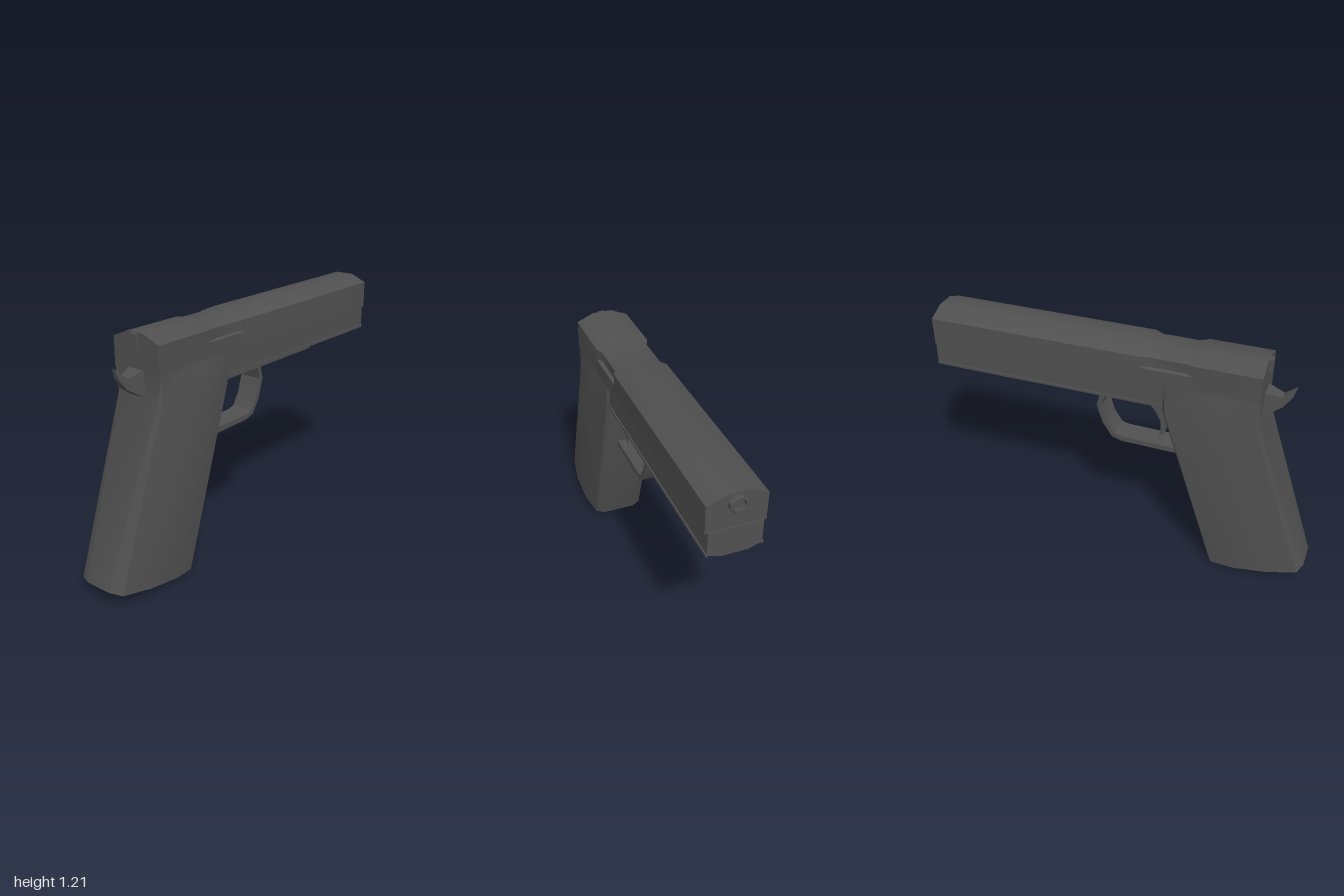
import * as THREE from 'three';
import { toCreasedNormals } from 'three/addons/utils/BufferGeometryUtils.js';

const gunmetal = new THREE.MeshStandardMaterial({ color: 0x505050 });
gunmetal.name = 'gunmetal';

// Skin a row of equal rings (counter-clockwise about the direction of travel) and cap both ends.
function loft(rings, crease = 0.6) {
  const n = rings[0].length;
  const index = [];
  for (let k = 0; k < rings.length - 1; k++) {
    for (let i = 0; i < n; i++) {
      const j = (i + 1) % n;
      const a = k * n + i, b = k * n + j;
      index.push(a, b, b + n, a, b + n, a + n);
    }
  }
  const last = (rings.length - 1) * n;
  for (let i = 1; i < n - 1; i++) {
    index.push(0, i + 1, i);
    index.push(last, last + i, last + i + 1);
  }
  const g = new THREE.BufferGeometry();
  g.setAttribute('position', new THREE.Float32BufferAttribute(rings.flat(2), 3));
  g.setIndex(index);
  return toCreasedNormals(g, crease);
}

// Complete a half ring given on the +z side with its mirror image.
const mirrorRing = half => [...half, ...half.map(([x, y, z]) => [x, y, -z]).reverse()];

// Side outline in x, y given a width across z.
function plate(points, width) {
  const shape = new THREE.Shape(points.map(p => new THREE.Vector2(...p)));
  const g = new THREE.ExtrudeGeometry(shape, { depth: width, bevelEnabled: false });
  return g.translate(0, 0, -width / 2);
}

export function createModel() {
  const model = new THREE.Group();
  model.name = 'pistol';
  const add = (name, geometry) => {
    const mesh = new THREE.Mesh(geometry, gunmetal);
    mesh.name = name;
    model.add(mesh);
    return mesh;
  };

  // Slide, cut slightly inwards around the ejection port
  const slideRing = (x, cut) => mirrorRing([
    [x, 1.217 - cut * 0.5, 0.05],
    [x, 1.18 - cut * 0.3, 0.138 - cut],
    [x, 1.125, 0.138 - cut],
    [x, 1.12, 0.138],
    [x, 1.04, 0.138],
  ]);
  add('slide', loft([
    slideRing(-0.7, 0), slideRing(-0.38, 0), slideRing(-0.34, 0.018),
    slideRing(-0.15, 0.018), slideRing(-0.11, 0), slideRing(0.98, 0),
  ]));

  // Frame below the slide
  const frameRing = x => mirrorRing([
    [x, 1.045, 0.125], [x, 0.925, 0.125], [x, 0.905, 0.06],
  ]);
  add('frame', loft([frameRing(-0.26), frameRing(0.985)]));
  for (const s of [-1, 1]) {
    const rail = add('frameRail', new THREE.BoxGeometry(1.21, 0.014, 0.01));
    rail.position.set(0.38, 0.925, s * 0.126);
  }

  // Grip: each row has its rear and front corner and [fraction, half width] stations
  const gripRow = (rear, front, stations) => mirrorRing(stations.map(([t, w]) => [
    THREE.MathUtils.lerp(rear[0], front[0], t),
    THREE.MathUtils.lerp(rear[1], front[1], t), w,
  ]));
  add('grip', loft([
    gripRow([-1, 0.08], [-0.5, 0.003],
      [[0, 0.07], [0.05, 0.133], [0.35, 0.16], [0.7, 0.16], [0.95, 0.135], [1, 0.09]]),
    gripRow([-0.7, 0.92], [-0.23, 0.9],
      [[0, 0.12], [0.03, 0.138], [0.35, 0.163], [0.65, 0.163], [0.97, 0.14], [1, 0.125]]),
    gripRow([-0.7, 1.045], [-0.23, 1.045],
      [[0, 0.136], [0.03, 0.138], [0.35, 0.138], [0.65, 0.138], [0.97, 0.138], [1, 0.136]]),
  ]));

  // Hammer, tapering towards its tip
  const hammer = plate([
    [-0.68, 1.052], [-0.705, 1.05], [-0.78, 1.03], [-0.84, 1.085],
    [-0.825, 1.035], [-0.785, 0.98], [-0.7, 0.925], [-0.68, 0.925],
  ], 2);
  const p = hammer.attributes.position;
  for (let i = 0; i < p.count; i++) {
    const t = THREE.MathUtils.clamp((p.getX(i) + 0.84) / 0.14, 0, 1);
    p.setZ(i, p.getZ(i) * (0.008 + 0.04 * t));
  }
  hammer.computeVertexNormals();
  add('hammer', hammer);

  // Rear sight
  add('rearSight', new THREE.BoxGeometry(0.03, 0.066, 0.04)).position.set(-0.702, 1.18, 0);

  // Muzzle ring
  const ring = [[0.043, 0], [0.043, 0.016], [0.038, 0.021], [0.032, 0.021], [0.032, 0]];
  const muzzle = new THREE.LatheGeometry(ring.map(q => new THREE.Vector2(...q)), 8, Math.PI / 8);
  add('muzzle', toCreasedNormals(muzzle.rotateZ(-Math.PI / 2), 0.5)).position.set(0.979, 1.165, 0);

  // Strip under the frame
  add('underStrip', plate([
    [-0.24, 0.915], [-0.24, 0.873], [0.555, 0.873], [0.585, 0.9], [0.585, 0.915],
  ], 0.12));

  // Trigger guard
  add('triggerGuard', toCreasedNormals(plate([
    [-0.33, 0.612], [0, 0.617], [0.055, 0.632], [0.105, 0.71], [0.135, 0.81], [0.115, 0.88],
    [0.09, 0.88], [0.11, 0.81], [0.08, 0.715], [0.04, 0.655], [0, 0.645], [-0.33, 0.64],
  ], 0.12), 0.5));

  // Trigger
  add('trigger', plate([
    [-0.225, 0.88], [-0.24, 0.785], [-0.22, 0.705], [-0.185, 0.675],
    [-0.2, 0.715], [-0.198, 0.77], [-0.17, 0.825], [-0.145, 0.855], [-0.08, 0.88],
  ], 0.08));

  return model;
}
